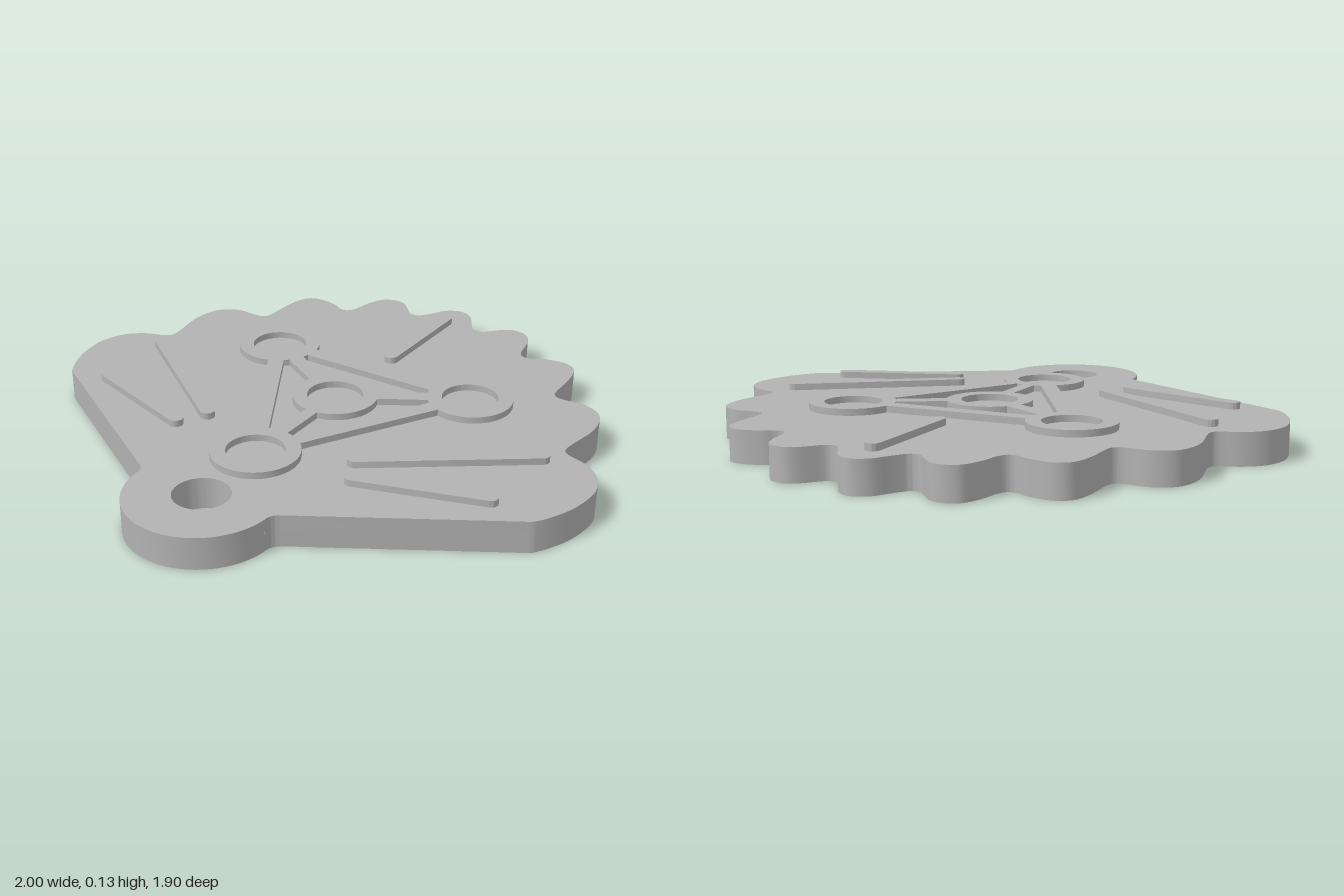
import * as THREE from 'three';
import { toCreasedNormals } from 'three/addons/utils/BufferGeometryUtils.js';

const BASE_TOP = 0.11, RELIEF_TOP = 0.133, RING_R = 0.148, HOLE_R = 0.097;

export function createModel() {
  const model = new THREE.Group();
  const grey = new THREE.MeshStandardMaterial({ color: 0xb2b2b2 });
  grey.name = 'grey plastic';

  // Extrudes a shape drawn in (x, z) between two heights
  function addSlab(name, shape, bottom, top) {
    const geo = new THREE.ExtrudeGeometry(shape, { depth: top - bottom, bevelEnabled: false, curveSegments: 32 });
    geo.rotateX(Math.PI / 2).translate(0, top, 0);
    const mesh = new THREE.Mesh(toCreasedNormals(geo, 0.6), grey);
    mesh.name = name;
    model.add(mesh);
  }

  function circlePath(x, z, r, PathType = THREE.Path) {
    return new PathType().absarc(x, z, r, 0, Math.PI * 2, false);
  }

  // Scalloped shell edge, right half from the top lobe to the lower corner
  const half = [
    [0.053, -0.93], [0.09, -0.872], [0.118, -0.832], [0.139, -0.824], [0.165, -0.833], [0.22, -0.893],
    [0.267, -0.909], [0.32, -0.888], [0.35, -0.823], [0.364, -0.749], [0.383, -0.718], [0.412, -0.715],
    [0.455, -0.738], [0.535, -0.752], [0.588, -0.722], [0.608, -0.642], [0.611, -0.525], [0.624, -0.491],
    [0.658, -0.482], [0.735, -0.486], [0.797, -0.455], [0.826, -0.4], [0.834, -0.32], [0.817, -0.215],
    [0.813, -0.165], [0.833, -0.137], [0.904, -0.112], [0.963, -0.064], [0.993, 0], [1, 0.06],
    [0.984, 0.155], [0.95, 0.235], [0.92, 0.283],
  ];
  const edge = [...half.map(([x, z]) => [-x, z]).reverse(), [0, -0.955], ...half];
  const edgePoints = new THREE.SplineCurve(edge.map(([x, z]) => new THREE.Vector2(x, z))).getPoints(320);

  // Plate: shell edge, straight flanks, rounded tab with its hole
  const plate = new THREE.Shape(edgePoints);
  plate.lineTo(0.905, 0.294);
  plate.lineTo(0.272, 0.669);
  plate.quadraticCurveTo(0.247, 0.684, 0.248, 0.715);
  plate.absarc(0, 0.7, 0.248, 0.06, Math.PI - 0.06, false);
  plate.quadraticCurveTo(-0.247, 0.684, -0.272, 0.669);
  plate.lineTo(-0.905, 0.294);
  plate.closePath();
  plate.holes.push(circlePath(0, 0.7, 0.093));
  addSlab('shellPlate', plate, 0, BASE_TOP);

  // Raised rings
  const hub = [0, -0.045];
  const corners = [[-0.4, -0.28], [0.4, -0.28], [0, 0.42]];
  for (const [x, z] of [hub, ...corners]) {
    const ring = circlePath(x, z, RING_R, THREE.Shape);
    ring.holes.push(circlePath(x, z, HOLE_R));
    addSlab('ring', ring, BASE_TOP, RELIEF_TOP);
  }

  // Straight strut ending inside the rim of each ring
  function addStrut(name, a, b, width) {
    const p = new THREE.Vector2(...a), q = new THREE.Vector2(...b);
    const dir = q.clone().sub(p).normalize();
    const side = new THREE.Vector2(-dir.y, dir.x).multiplyScalar(width / 2);
    p.addScaledVector(dir, 0.12);
    q.addScaledVector(dir, -0.12);
    const strut = new THREE.Shape([p.clone().add(side), p.clone().sub(side), q.clone().sub(side), q.clone().add(side)]);
    addSlab(name, strut, BASE_TOP, RELIEF_TOP);
  }
  corners.forEach((c, i) => {
    addStrut('frameStrut', c, corners[(i + 1) % 3], 0.056);
    addStrut('hubSpoke', hub, c, i < 2 ? 0.056 : 0.046);
  });

  // Round-ended ribs
  function addRib(name, [ax, az], [bx, bz], r = 0.025) {
    const t = Math.atan2(bz - az, bx - ax);
    const rib = new THREE.Shape();
    rib.absarc(bx, bz, r, t - Math.PI / 2, t + Math.PI / 2, false);
    rib.absarc(ax, az, r, t + Math.PI / 2, t + Math.PI * 1.5, false);
    rib.closePath();
    addSlab(name, rib, BASE_TOP, RELIEF_TOP);
  }
  addRib('topRib', [0, -0.825], [0, -0.42]);
  for (const s of [-1, 1]) {
    addRib('longSideRib', [s * 0.295, 0.292], [s * 0.78, -0.055]);
    addRib('shortSideRib', [s * 0.35, 0.392], [s * 0.762, 0.264]);
  }
  return model;
}
